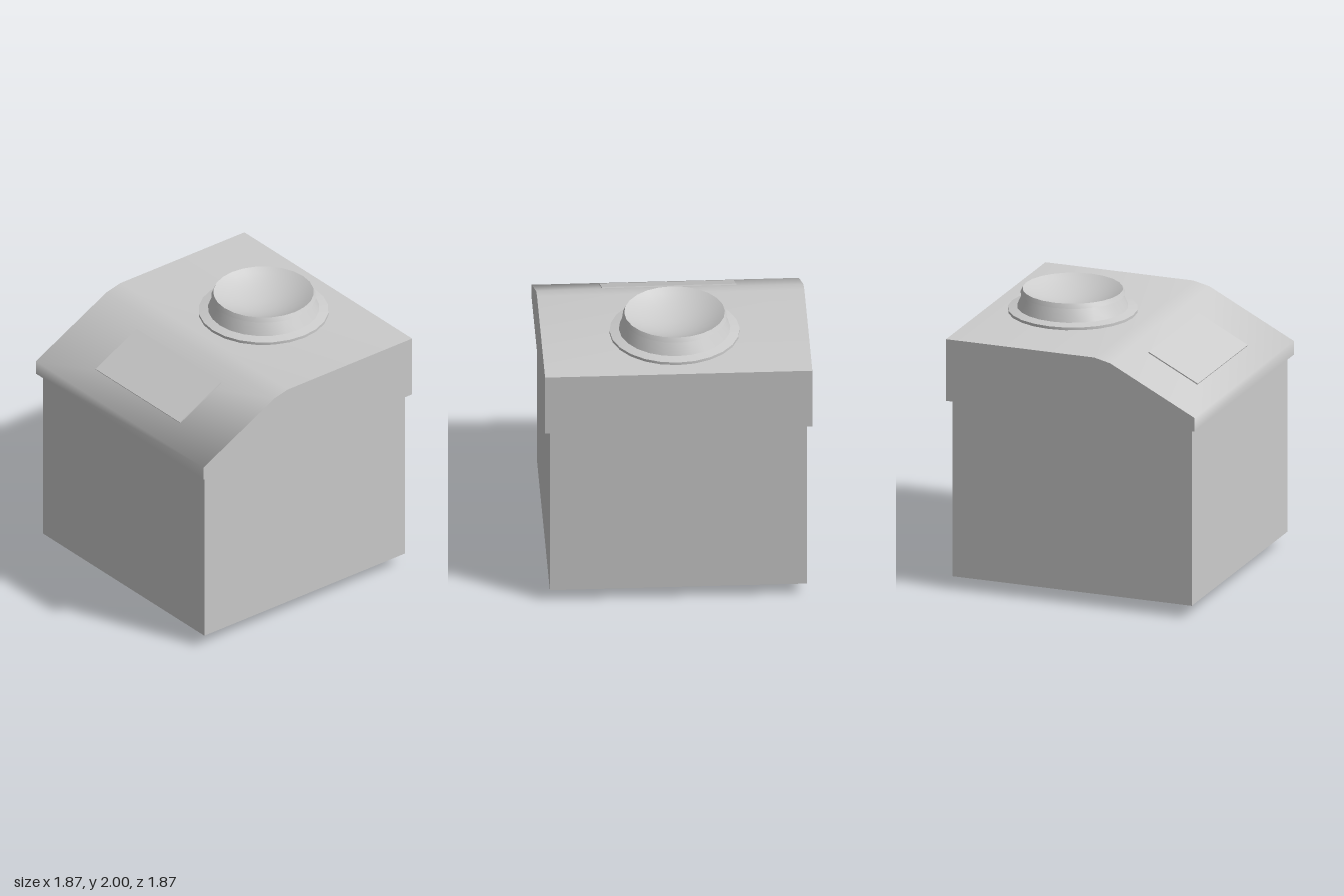
import * as THREE from 'three';
import { toCreasedNormals } from 'three/addons/utils/BufferGeometryUtils.js';

export function createModel() {
  const model = new THREE.Group();
  const grey = new THREE.MeshStandardMaterial({ color: 0xcccccc });
  const add = (name, geometry, x, y, z) => {
    const mesh = new THREE.Mesh(geometry, grey);
    mesh.name = name;
    mesh.position.set(x, y, z);
    model.add(mesh);
    return mesh;
  };

  // Square main body
  add('body', new THREE.BoxGeometry(1.8, 1.3, 1.8), 0, 0.74, 0);

  // Overhanging lid: side profile (z, y) extruded across the width
  const half = 0.935;
  const profile = new THREE.Shape([
    [-half, 1.385], [half, 1.385], [half, 1.485], [0.3, 1.81], [0.18, 1.838], [-half, 1.838],
  ].map(([z, y]) => new THREE.Vector2(z, y)));
  const lid = new THREE.ExtrudeGeometry(profile, { depth: half * 2, bevelEnabled: false });
  lid.translate(0, 0, -half).rotateY(-Math.PI / 2);
  add('lid', toCreasedNormals(lid, 1.2), 0, 0, 0);

  // Thin plate lying on the sloped front of the lid
  const plate = add('slopePlate', new THREE.BoxGeometry(0.94, 0.01, 0.415), 0, 1.667, 0.587);
  plate.rotation.x = Math.atan2(0.325, 0.635);

  // Round collar with a flared lip and a shallow concave dish
  const collar = [
    [0.455, 1.838], [0.455, 1.858], [0.39, 1.872], [0.348, 1.965],
    [0.367, 1.967], [0.352, 2.0],
  ];
  for (let i = 1; i <= 8; i++) {
    const t = 1 - i / 8;
    collar.push([0.352 * t, 1.9 + 0.1 * t * t]);
  }
  const ring = new THREE.LatheGeometry(collar.map(([r, y]) => new THREE.Vector2(r, y)), 24);
  add('dishCollar', toCreasedNormals(ring, 0.6), 0, 0, -0.355);

  // Four tapered feet
  for (const x of [-0.56, 0.56]) {
    for (const z of [-0.56, 0.56]) {
      add('foot', new THREE.CylinderGeometry(0.132, 0.08, 0.09, 20), x, 0.045, z);
    }
  }
  return model;
}
